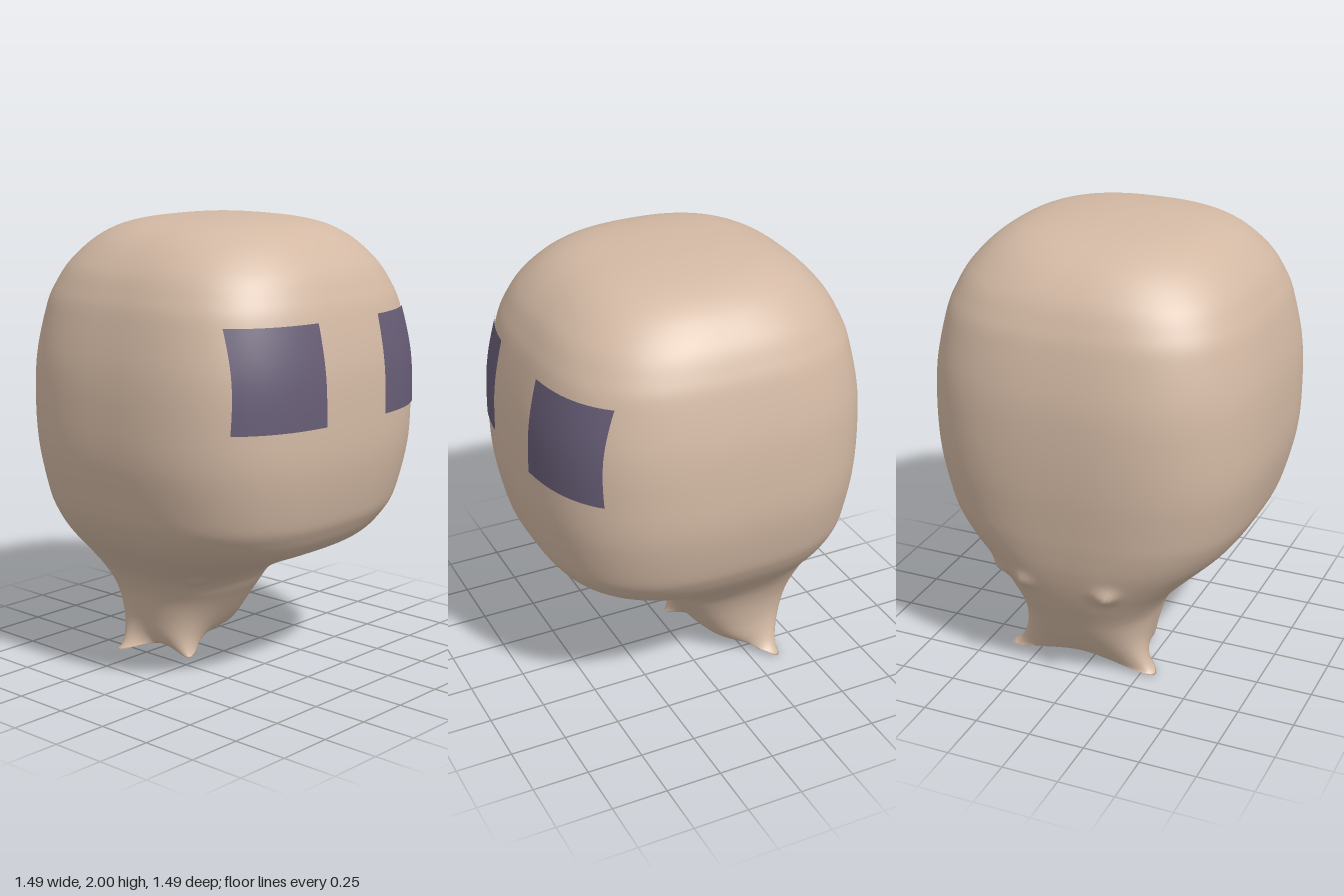
import * as THREE from 'three';

const V = (x, y, z) => new THREE.Vector3(x, y, z);

// Head outline, bottom to top: y, right x, left x, back z, front z
const rows = [
  [0.05, -0.26, 0.33, -0.41, -0.05], [0.12, -0.265, 0.325, -0.46, -0.04],
  [0.2, -0.27, 0.32, -0.51, 0.0], [0.3, -0.3, 0.34, -0.56, 0.07],
  [0.4, -0.365, 0.385, -0.61, 0.155], [0.5, -0.47, 0.465, -0.65, 0.35],
  [0.6, -0.58, 0.57, -0.68, 0.57], [0.7, -0.65, 0.645, -0.7, 0.66],
  [0.8, -0.69, 0.69, -0.715, 0.7], [1.0, -0.735, 0.735, -0.738, 0.738],
  [1.2, -0.745, 0.745, -0.745, 0.745], [1.4, -0.735, 0.735, -0.735, 0.735],
  [1.6, -0.695, 0.695, -0.695, 0.695], [1.7, -0.66, 0.66, -0.66, 0.66],
  [1.8, -0.605, 0.605, -0.605, 0.605], [1.9, -0.505, 0.505, -0.505, 0.505],
  [1.96, -0.38, 0.38, -0.38, 0.38], [1.99, -0.2, 0.2, -0.2, 0.2], [2, 0, 0, 0, 0],
];
const xCurve = new THREE.CatmullRomCurve3(rows.map(r => V(r[1], r[0], r[2])), false, 'catmullrom', 0.5);
const zCurve = new THREE.CatmullRomCurve3(rows.map(r => V(r[3], r[0], r[4])), false, 'catmullrom', 0.5);

// Ragged neck hem: three pulled points with hollow edges between them
const hem = new THREE.CatmullRomCurve3([
  V(0.29, 0.05, -0.25), V(0.17, 0.055, -0.18), V(0, 0.06, -0.13), V(-0.17, 0, -0.05),
  V(-0.2, 0.04, -0.21), V(-0.31, 0, -0.38), V(0.03, 0.06, -0.4), V(0.38, 0, -0.38),
], true, 'catmullrom', 0.5);

// Small puckers where the neck meets the head: position, push
const puckers = [
  [V(0.3, 0.43, 0.08), 0.03], [V(-0.27, 0.43, 0.08), 0.03],
  [V(-0.19, 0.5, -0.65), 0.045], [V(0.2, 0.5, -0.65), 0.03], [V(0.35, 0.5, -0.58), 0.035],
];

function section(u) {
  const a = xCurve.getPoint(u), b = zCurve.getPoint(u);
  const y = Math.min(a.y, 2);
  const n = y < 1.6 ? 2.4 + 0.47 * THREE.MathUtils.smoothstep(y, 0.3, 0.8)
    : 2.87 - 0.37 * THREE.MathUtils.smoothstep(y, 1.6, 2);
  return { y, n, cx: (a.x + a.z) / 2, hx: (a.z - a.x) / 2, cz: (b.x + b.z) / 2, hz: (b.z - b.x) / 2 };
}

function sectionAt(y) {
  let lo = 0, hi = 1;
  for (let i = 0; i < 30; i++) {
    const m = (lo + hi) / 2;
    if (xCurve.getPoint(m).y < y) lo = m; else hi = m;
  }
  return section(lo);
}

function headGeometry(steps = 144, segs = 128) {
  const pos = [], index = [];
  const power = (v, n) => Math.sign(v) * Math.pow(Math.abs(v), 2 / n);
  for (let i = 0; i < steps; i++) {
    const s = section(i / steps);
    // The lowest sections melt into the hem
    const k = Math.pow(THREE.MathUtils.clamp((0.3 - s.y) / 0.25, 0, 1), 2.5);
    for (let j = 0; j < segs; j++) {
      const t = (j / segs) * Math.PI * 2;
      const p = V(s.cx + s.hx * power(Math.cos(t), s.n), s.y, s.cz + s.hz * power(Math.sin(t), s.n));
      p.lerp(hem.getPoint(j / segs), k);
      for (const [c, push] of puckers) {
        const w = push * Math.exp(-p.distanceToSquared(c) / 0.0018);
        const out = V(p.x - s.cx, -0.1, p.z - s.cz).normalize();
        p.addScaledVector(out, w);
      }
      p.y = Math.max(p.y, 0);
      pos.push(p.x, p.y, p.z);
      if (i < steps - 1) {
        const a = i * segs + j, b = i * segs + (j + 1) % segs;
        index.push(a, a + segs, b, b, a + segs, b + segs);
      }
    }
  }
  // Crown and underside
  const top = steps * segs, last = (steps - 1) * segs;
  pos.push(0, 2, 0, -0.01, 0.07, -0.26);
  for (let j = 0; j < segs; j++) {
    const n = (j + 1) % segs;
    index.push(last + j, top, last + n, top + 1, j, n);
  }
  const g = new THREE.BufferGeometry();
  g.setAttribute('position', new THREE.Float32BufferAttribute(pos, 3));
  g.setIndex(index);
  g.computeVertexNormals();
  return g;
}

// Thin patch that follows the curved face
function eyeGeometry(side) {
  const g = new THREE.PlaneGeometry(1, 1, 16, 12);
  const p = g.attributes.position;
  for (let i = 0; i < p.count; i++) {
    const y = 1.18 + 0.42 * (p.getY(i) + 0.5);
    const outer = 0.595 - 0.05 * (y - 1.18);
    const x = side * 0.395 + p.getX(i) * 0.4;
    const f = (Math.abs(x) - 0.195) / 0.4;
    const ax = 0.195 + f * (outer - 0.195);
    const s = sectionAt(y);
    const z = s.hz * Math.pow(1 - Math.pow(ax / s.hx, s.n), 1 / s.n);
    p.setXYZ(i, side * (ax + 0.003 * f), y, z + 0.006);
  }
  g.computeVertexNormals();
  return g;
}

export function createModel() {
  const skin = new THREE.MeshStandardMaterial({ color: 0xd3b9a4 });
  skin.name = 'skin';
  const dusk = new THREE.MeshStandardMaterial({ color: 0x675d76 });
  dusk.name = 'duskyViolet';

  const model = new THREE.Group();
  model.name = 'head';
  const add = (geometry, material, name) => {
    const mesh = new THREE.Mesh(geometry, material);
    mesh.name = name;
    model.add(mesh);
  };
  add(headGeometry(), skin, 'headAndNeck');
  add(eyeGeometry(1), dusk, 'leftEye');
  add(eyeGeometry(-1), dusk, 'rightEye');
  return model;
}
